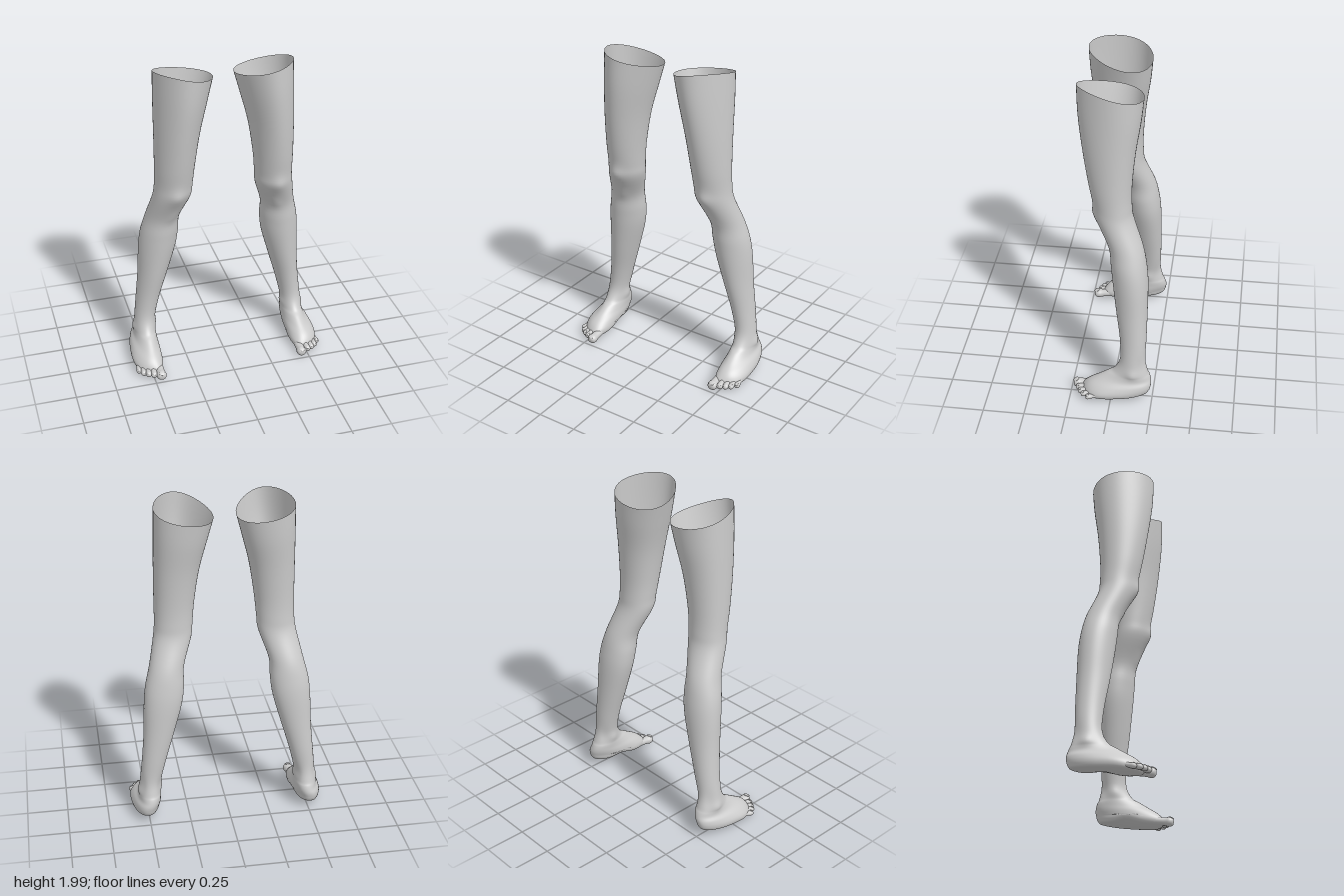
import * as THREE from 'three';

const AROUND = 48, STEPS = 5;

// Horizontal sections, thigh rim to sole: y, inner x, outer x, back z, front z, front taper
const SECTIONS = [
  [1.955, 0.07, 0.405, -0.155, 0.22, 0.22],
  [1.80, 0.105, 0.41, -0.142, 0.212, 0.2],
  [1.60, 0.15, 0.415, -0.115, 0.185, 0.15],
  [1.40, 0.18, 0.418, -0.098, 0.152, 0.1],
  [1.27, 0.193, 0.42, -0.098, 0.125, 0.08],
  [1.18, 0.203, 0.43, -0.11, 0.108, 0.08],
  [1.02, 0.257, 0.465, -0.17, 0.032, 0.05],
  [0.90, 0.263, 0.494, -0.195, 0.016, 0.1],
  [0.78, 0.28, 0.507, -0.206, 0.003, 0.12],
  [0.60, 0.33, 0.515, -0.207, -0.02, 0.12],
  [0.42, 0.382, 0.531, -0.206, -0.046, 0.08],
  [0.28, 0.415, 0.547, -0.203, -0.051, 0.05],
  [0.20, 0.421, 0.555, -0.219, -0.015, 0.12],
  [0.17, 0.422, 0.555, -0.231, 0.033, 0.2],
  [0.14, 0.422, 0.562, -0.239, 0.088, 0.14],
  [0.11, 0.419, 0.584, -0.243, 0.14, 0],
  [0.08, 0.419, 0.598, -0.24, 0.168, -0.15],
  [0.055, 0.421, 0.599, -0.232, 0.173, -0.2],
  [0.036, 0.434, 0.588, -0.212, 0.16, -0.2],
  [0.03, 0.465, 0.557, -0.14, 0.1, -0.2],
];

// Soft swellings: centre, spread, and push along x and z
const BUMPS = [
  [[0.31, 1.21, 0.13], [0.05, 0.055, 0.06], 0, 0.014],      // kneecap
  [[0.32, 1.04, 0.04], [0.035, 0.035, 0.05], 0, 0.008],     // below the knee
  [[0.555, 0.20, -0.13], [0.03, 0.03, 0.035], 0.009, 0],    // outer ankle bone
  [[0.42, 0.225, -0.12], [0.03, 0.03, 0.035], -0.008, 0],   // inner ankle bone
  [[0.53, 0.24, -0.175], [0.03, 0.07, 0.03], -0.008, 0],    // hollows beside the heel tendon
  [[0.44, 0.24, -0.175], [0.03, 0.07, 0.03], 0.008, 0],
];

const clamp01 = v => THREE.MathUtils.clamp(v, 0, 1);
const bell = (v, centre, width) => Math.exp(-(((v - centre) / width) ** 2));

// Smooth blend between neighbouring sections
function sampleSection(t) {
  const i = Math.min(Math.floor(t), SECTIONS.length - 2), f = t - i;
  const at = k => SECTIONS[Math.max(0, Math.min(SECTIONS.length - 1, k))];
  return SECTIONS[0].map((_, c) => {
    const [a, b, d, e] = [at(i - 1)[c], at(i)[c], at(i + 1)[c], at(i + 2)[c]];
    return b + 0.5 * f * (d - a + f * (2 * a - 5 * b + 4 * d - e + f * (3 * (b - d) + e - a)));
  });
}

function legGeometry(side) {
  const pos = [], index = [], rows = (SECTIONS.length - 1) * STEPS;
  for (let r = 0; r <= rows; r++) {
    const [y0, xi, xo, zb, zf, taper] = sampleSection(r / STEPS);
    const cx = (xi + xo) / 2, cz = (zb + zf) / 2;
    const rim = clamp01((y0 - 1.5) / 0.455) ** 2;   // slanted thigh cut
    const foot = clamp01((0.18 - y0) / 0.1);        // squarer, toes-down foot
    const round = v => Math.sign(v) * Math.abs(v) ** (1 - 0.15 * foot);
    for (let j = 0; j < AROUND; j++) {
      const a = j / AROUND * Math.PI * 2, c = Math.cos(a), s = Math.sin(a);
      const x = cx + (xo - xi) / 2 * round(c) * (1 - taper * s);
      let y = y0 + rim * (0.03 * c + 0.035 * s) - foot * 0.018 * s;
      let z = cz + (zf - zb) / 2 * round(s);
      // the toe line slants back toward the outside of the foot
      z -= 0.35 * (x - cx) * Math.max(0, s) * clamp01((0.14 - y0) / 0.06);
      // raised arch on the inner sole
      if (y0 < 0.08) y += 0.022 * bell(x, 0.43, 0.05) * bell(z, -0.05, 0.07);
      let dx = 0, dz = 0;
      for (const [p, w, px, pz] of BUMPS) {
        const g = bell(x, p[0], w[0]) * bell(y, p[1], w[1]) * bell(z, p[2], w[2]);
        dx += px * g;
        dz += pz * g;
      }
      pos.push(side * (x + dx), y, z + dz);
    }
  }
  const tri = (a, b, c) => index.push(...(side > 0 ? [a, b, c] : [a, c, b]));
  for (let r = 0; r < rows; r++) {
    for (let j = 0; j < AROUND; j++) {
      const a = r * AROUND + j, b = r * AROUND + (j + 1) % AROUND;
      tri(a, b, a + AROUND);
      tri(b, b + AROUND, a + AROUND);
    }
  }
  // close the sole
  const centre = pos.length / 3, last = rows * AROUND;
  pos.push(side * 0.511, 0.03, -0.02);
  for (let j = 0; j < AROUND; j++) tri(last + j, last + (j + 1) % AROUND, centre);
  const geo = new THREE.BufferGeometry();
  geo.setAttribute('position', new THREE.Float32BufferAttribute(pos, 3));
  geo.setIndex(index);
  geo.computeVertexNormals();
  return geo;
}

// Toes, big to little: root, tip, radius
const TOES = [
  [[0.458, 0.045, 0.13], [0.458, 0.031, 0.24], 0.031],
  [[0.495, 0.056, 0.13], [0.503, 0.032, 0.219], 0.02],
  [[0.525, 0.055, 0.12], [0.534, 0.031, 0.203], 0.0185],
  [[0.552, 0.052, 0.10], [0.561, 0.031, 0.182], 0.018],
  [[0.575, 0.048, 0.075], [0.585, 0.031, 0.15], 0.0175],
];

// Slim neck and rounded pad, along unit length
const TOE_PROFILE = new THREE.SplineCurve(
  [[0.85, 0], [0.84, 0.35], [0.88, 0.55], [1, 0.74], [0.86, 0.9], [0.5, 0.98], [0, 1]].map(p => new THREE.Vector2(...p))
).getPoints(24).map(p => new THREE.Vector2(Math.max(0, p.x), p.y));

function makeToe(root, tip, radius, side, material) {
  const a = new THREE.Vector3(side * root[0], root[1], root[2]);
  const b = new THREE.Vector3(side * tip[0], tip[1], tip[2]);
  const length = a.distanceTo(b);
  const toe = new THREE.Group();
  toe.name = 'toe';
  toe.position.copy(a);
  // local y runs along the toe, local z points up
  const along = b.sub(a).normalize();
  const across = along.clone().cross(new THREE.Vector3(0, 1, 0)).normalize();
  toe.quaternion.setFromRotationMatrix(new THREE.Matrix4().makeBasis(across, along, across.clone().cross(along)));

  const body = new THREE.Mesh(new THREE.LatheGeometry(TOE_PROFILE, 20), material);
  body.name = 'toeBody';
  body.scale.set(radius, length, radius * 0.92);
  const nail = new THREE.Mesh(new THREE.SphereGeometry(1, 16, 10), material);
  nail.name = 'toenail';
  nail.scale.set(radius * 0.62, radius * 0.6, radius * 0.18);
  nail.position.set(0, length * 0.84, radius * 0.8);
  nail.rotation.x = -0.3;
  toe.add(body, nail);
  return toe;
}

export function createModel() {
  const model = new THREE.Group();
  model.name = 'legs';
  const skin = new THREE.MeshStandardMaterial({ color: 0xcccccc, side: THREE.DoubleSide });
  for (const [side, label] of [[1, 'left'], [-1, 'right']]) {
    const leg = new THREE.Group();
    leg.name = label + 'Leg';
    const limb = new THREE.Mesh(legGeometry(side), skin);
    limb.name = label + 'LegAndFoot';
    leg.add(limb);
    for (const [root, tip, radius] of TOES) leg.add(makeToe(root, tip, radius, side, skin));
    model.add(leg);
  }
  return model;
}
